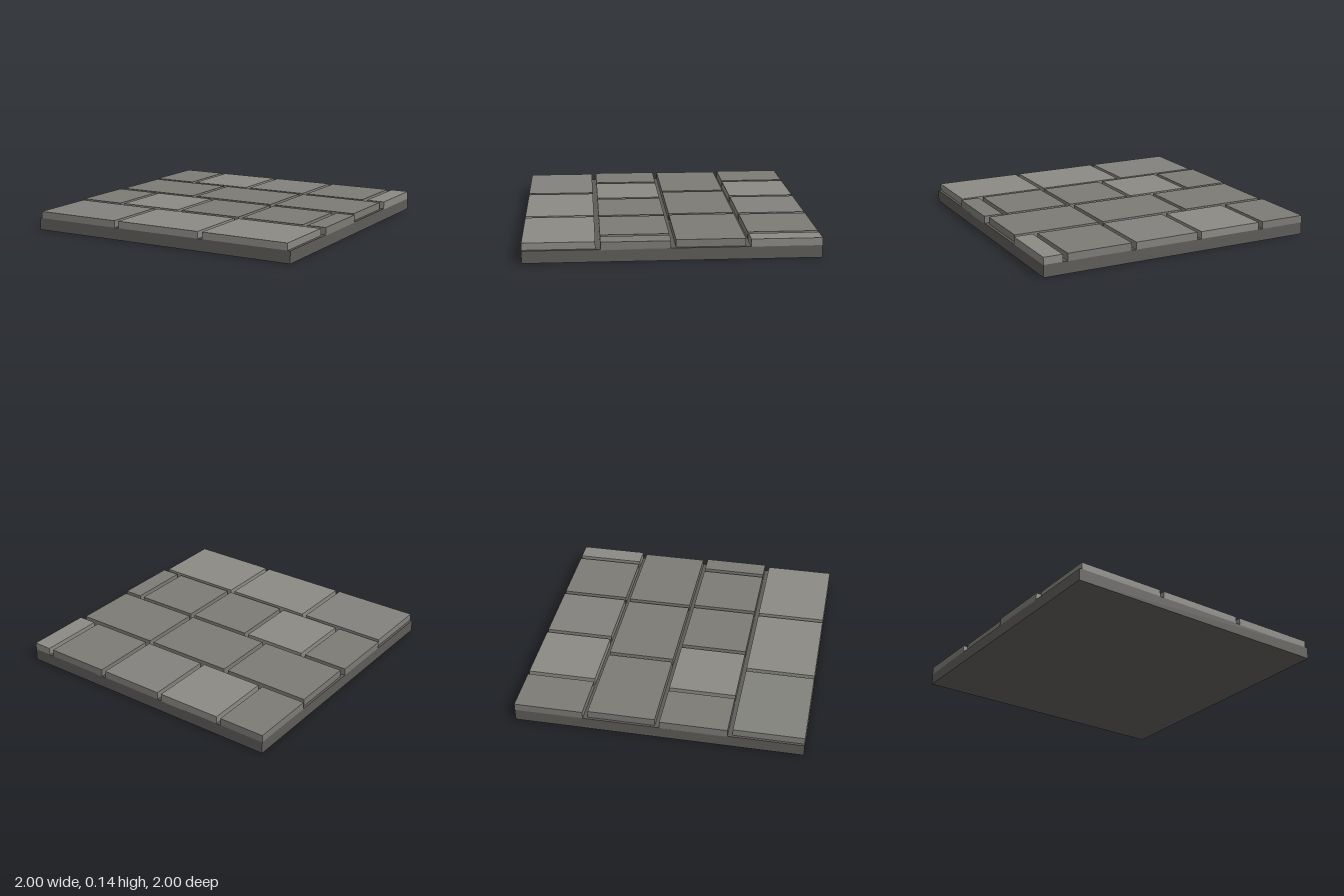
import * as THREE from 'three';

const BASE_TOP = 0.085;

export function createModel() {
  const group = new THREE.Group();

  const addBlock = (name, x0, x1, y0, y1, z0, z1, color) => {
    const mesh = new THREE.Mesh(
      new THREE.BoxGeometry(x1 - x0, y1 - y0, z1 - z0),
      new THREE.MeshStandardMaterial({ color })
    );
    mesh.position.set((x0 + x1) / 2, (y0 + y1) / 2, (z0 + z1) / 2);
    mesh.name = name;
    group.add(mesh);
  };

  // Mortar bed under all the stones
  addBlock('mortarBase', -1, 1, 0, BASE_TOP, -1, 1, 0x5e5c59);

  // Stone extents along x for the two alternating courses
  const narrow = [[-1, -0.667], [-0.635, -0.17], [-0.138, 0.33], [0.362, 0.828], [0.864, 1]];
  const wide = [[-0.983, -0.352], [-0.32, 0.317], [0.35, 0.98]];
  const greys = [0x7c7b76, 0x83827d, 0x8b8a85];

  // Courses from back to front; tones index the greys
  const courses = [
    { z: [-1, -0.52], top: 0.137, stones: narrow, tones: [0, 2, 1, 0, 2] },
    { z: [-0.487, -0.02], top: 0.137, stones: wide, tones: [0, 0, 0] },
    { z: [0.014, 0.481], top: 0.136, stones: narrow, tones: [0, 2, 0, 0, 0] },
    { z: [0.514, 1], top: 0.134, stones: wide, tones: [1, 2, 2] },
  ];

  courses.forEach(({ z, top, stones, tones }, row) => {
    stones.forEach(([x0, x1], i) => {
      addBlock(`pavingStone${row + 1}_${i + 1}`, x0, x1, BASE_TOP - 0.005, top, z[0], z[1], greys[tones[i]]);
    });
  });

  return group;
}
